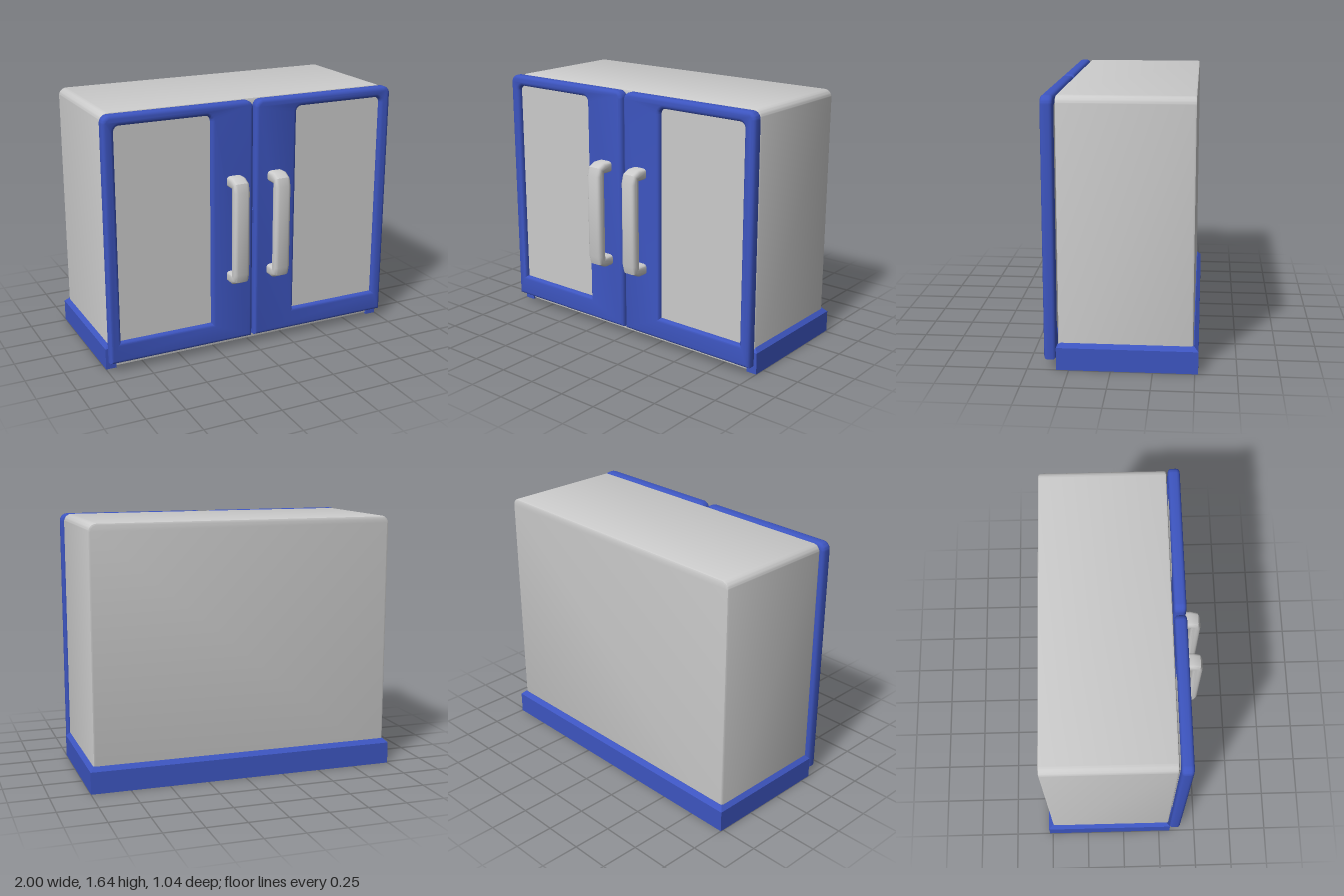
import * as THREE from 'three';
import { toCreasedNormals } from 'three/addons/utils/BufferGeometryUtils.js';

const grey = new THREE.MeshStandardMaterial({ color: 0xcccccc });
const blue = new THREE.MeshStandardMaterial({ color: 0x3d55c0 });

// Rectangle with rounded top corners and square bottom corners
function archRect(path, x0, x1, y0, y1, r) {
  path.moveTo(x0, y0);
  path.lineTo(x1, y0);
  path.lineTo(x1, y1 - r);
  path.absarc(x1 - r, y1 - r, r, 0, Math.PI / 2, false);
  path.lineTo(x0 + r, y1);
  path.absarc(x0 + r, y1 - r, r, Math.PI / 2, Math.PI, false);
  path.closePath();
  return path;
}

// Extrusion whose bevels stay inside the outline and inside z = 0..depth
function bevelled(shape, depth, bevel, segments = 3) {
  const geo = new THREE.ExtrudeGeometry(shape, {
    depth: depth - 2 * bevel, bevelThickness: bevel, bevelSize: bevel,
    bevelOffset: -bevel, bevelSegments: segments, curveSegments: 6,
  });
  return geo.translate(0, 0, bevel);
}

function add(parent, name, geo, material) {
  const mesh = new THREE.Mesh(toCreasedNormals(geo, 0.7), material);
  mesh.name = name;
  parent.add(mesh);
  return mesh;
}

// One door with its window pane and handle; side is +1 (left) or -1 (right)
function createDoor(side) {
  const door = new THREE.Group();
  door.name = side > 0 ? 'leftDoor' : 'rightDoor';
  const span = (a, b) => (side > 0 ? [a, b] : [-b, -a]);

  const [x0, x1] = span(0.008, 0.99);
  const [w0, w1] = span(0.295, 0.918);
  const frame = archRect(new THREE.Shape(), x0, x1, 0.06, 1.64, 0.05);
  frame.holes.push(archRect(new THREE.Path(), w0, w1, 0.2, 1.572, 0.035));
  add(door, 'doorFrame', bevelled(frame, 0.075, 0.022).translate(0, 0, 0.325), blue);

  const pane = new THREE.BoxGeometry(0.64, 1.39, 0.03);
  add(door, 'windowPane', pane.translate((w0 + w1) / 2, 0.886, 0.355), grey);

  // Handle side profile: (depth in front of the cabinet, height)
  const outline = [
    [0.375, 0.48], [0.46, 0.48], [0.51, 0.505], [0.525, 0.56],
    [0.525, 1.1], [0.51, 1.155], [0.46, 1.18], [0.375, 1.18],
    [0.375, 1.11], [0.46, 1.11], [0.46, 0.55], [0.375, 0.55],
  ].map(([z, y]) => new THREE.Vector2(z, y));
  const grip = bevelled(new THREE.Shape(outline), 0.105, 0.022);
  grip.translate(0, 0, -0.0525).rotateY(-Math.PI / 2);
  add(door, 'handle', grip.translate(side * 0.143, 0, 0), grey);
  return door;
}

export function createModel() {
  const model = new THREE.Group();
  model.name = 'cabinet';

  // Cabinet body, rounded along its upper side edges
  const section = archRect(new THREE.Shape(), -0.975, 0.975, 0.004, 1.64, 0.05);
  add(model, 'body', bevelled(section, 0.805, 0.014, 2).translate(0, 0, -0.49), grey);

  // Base skirt: U-shaped in plan, open at the front, chamfered on top
  const plan = new THREE.Shape([
    [-1, -0.325], [-0.93, -0.325], [-0.93, 0.45], [0.93, 0.45],
    [0.93, -0.325], [1, -0.325], [1, 0.52], [-1, 0.52],
  ].map(([x, y]) => new THREE.Vector2(x, y)));
  const skirt = bevelled(plan, 0.195, 0.026, 1).rotateX(-Math.PI / 2).translate(0, -0.03, 0);
  const pos = skirt.attributes.position;
  for (let i = 0; i < pos.count; i++) pos.setY(i, Math.max(0, pos.getY(i)));
  add(model, 'baseSkirt', skirt, blue);

  // Doors
  for (const side of [-1, 1]) model.add(createDoor(side));

  // Small latch in the gap between the doors
  const latch = new THREE.BoxGeometry(0.03, 0.09, 0.05);
  add(model, 'latch', latch.translate(0, 0.88, 0.345), blue);

  return model;
}
